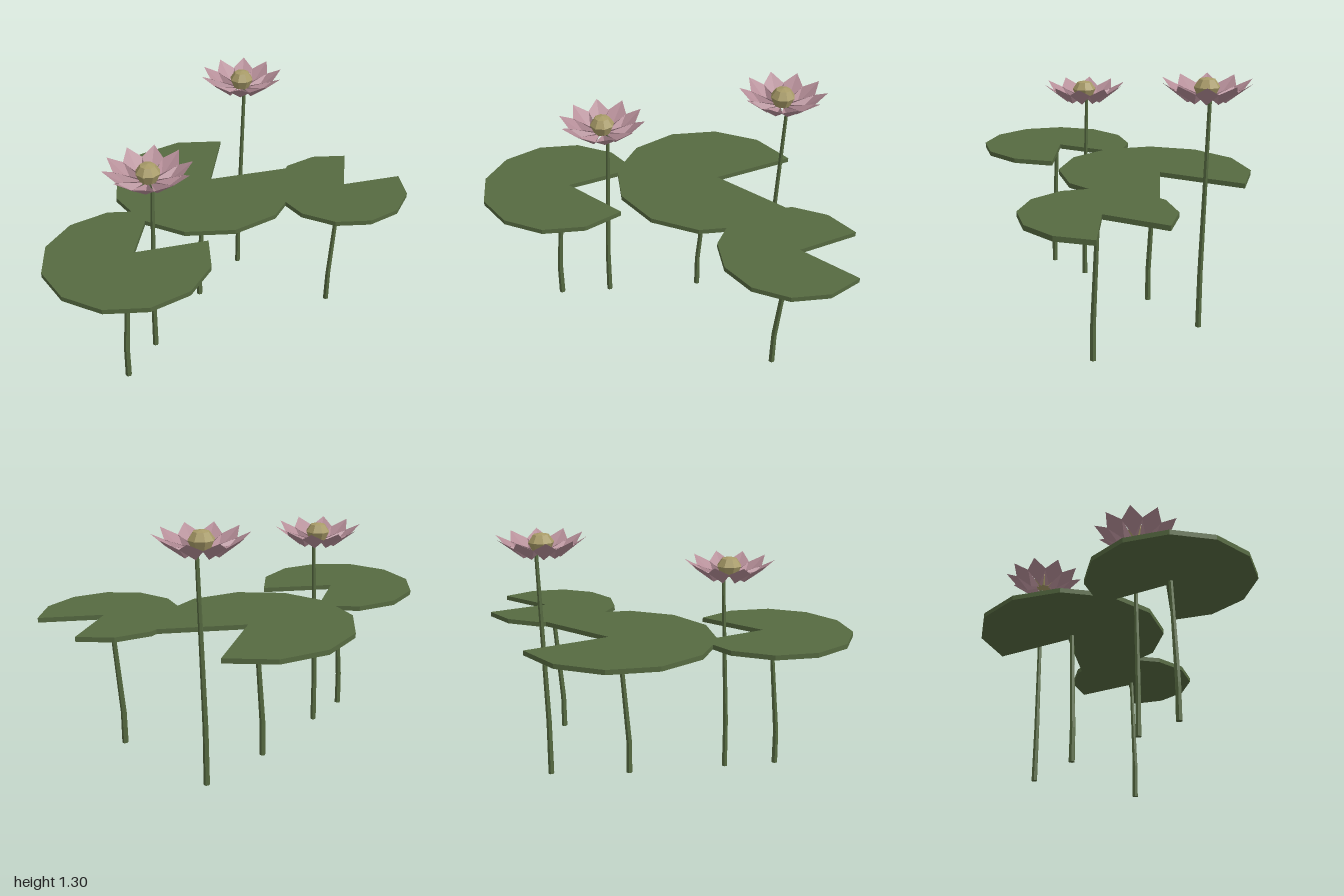
import * as THREE from 'three';

const leafGreen = new THREE.MeshStandardMaterial({ color: 0x566a41 });
const petalPink = new THREE.MeshStandardMaterial({ color: 0xb58e98, side: THREE.DoubleSide });
const seedYellow = new THREE.MeshStandardMaterial({ color: 0xa89b68 });

function part(name, geometry, material) {
  const flat = geometry.index ? geometry.toNonIndexed() : geometry;
  flat.computeVertexNormals(); // faceted look
  const mesh = new THREE.Mesh(flat, material);
  mesh.name = name;
  return mesh;
}

// Six-sided stalk: upright for its first quarter, then leaning towards +x
function stalk(name, height, rTop, rBase, lean) {
  const g = new THREE.CylinderGeometry(rTop, rBase, height, 6, 4);
  g.translate(0, height / 2, 0);
  const p = g.attributes.position;
  for (let i = 0; i < p.count; i++) {
    const t = p.getY(i) / height;
    p.setX(i, p.getX(i) + lean * Math.max(0, (t - 0.25) / 0.75));
  }
  return part(name, g, leafGreen);
}

// Twelve-sided pad whose +x corner is pulled in to form the notch
function lilyPad(x, z, radius) {
  const group = new THREE.Group();
  group.name = 'lilyPad';
  const shape = new THREE.Shape();
  shape.moveTo(radius * 0.105, 0);
  for (let i = 1; i < 12; i++) {
    const a = (i * Math.PI) / 6;
    shape.lineTo(radius * Math.cos(a), radius * Math.sin(a));
  }
  shape.closePath();
  const g = new THREE.ExtrudeGeometry(shape, { depth: 0.025, bevelEnabled: false });
  g.rotateX(-Math.PI / 2).translate(0, 0.735, 0);
  const stem = stalk('padStem', 0.737, 0.012, 0.017, 0.045);
  stem.position.x = -0.045;
  group.add(part('pad', g, leafGreen), stem);
  group.position.set(x, 0, z);
  return group;
}

// One creased petal pointing along +x: a low midrib with raised edges
function petalGeometry() {
  const base = [0.025, 0.022, 0], rib = [0.095, 0, 0], tip = [0.228, 0.104, 0];
  const left = [0.165, 0.062, 0.056], right = [0.165, 0.062, -0.056];
  const corners = [base, left, rib, rib, left, tip, base, rib, right, rib, tip, right];
  const g = new THREE.BufferGeometry();
  g.setAttribute('position', new THREE.Float32BufferAttribute(corners.flat(), 3));
  return g;
}

function flower(x, z, height) {
  const group = new THREE.Group();
  group.name = 'flower';
  group.add(stalk('flowerStem', height + 0.02, 0.01, 0.016, 0.028));

  const bloom = new THREE.Group();
  bloom.name = 'bloom';
  bloom.position.y = height;
  for (let i = 0; i < 10; i++) {
    const petal = part('petal', petalGeometry(), petalPink);
    petal.rotation.y = (i * Math.PI) / 5;
    bloom.add(petal);
  }

  // Faceted seed head
  const profile = [[0, 0.012], [0.042, 0.022], [0.065, 0.072], [0.039, 0.11], [0, 0.119]]
    .map(([r, y]) => new THREE.Vector2(r, y));
  const head = part('seedHead', new THREE.LatheGeometry(profile, 8), seedYellow);
  head.rotation.y = Math.PI / 8;
  bloom.add(head);
  group.add(bloom);
  group.position.set(x, 0, z);
  return group;
}

export function createModel() {
  const model = new THREE.Group();
  model.name = 'waterLilies';
  model.add(
    lilyPad(-0.575, -0.05, 0.425),
    lilyPad(0.21, -0.235, 0.507),
    lilyPad(0.677, 0.37, 0.366),
    flower(-0.345, -0.113, 1.044),
    flower(0.582, -0.28, 1.184),
  );
  return model;
}
